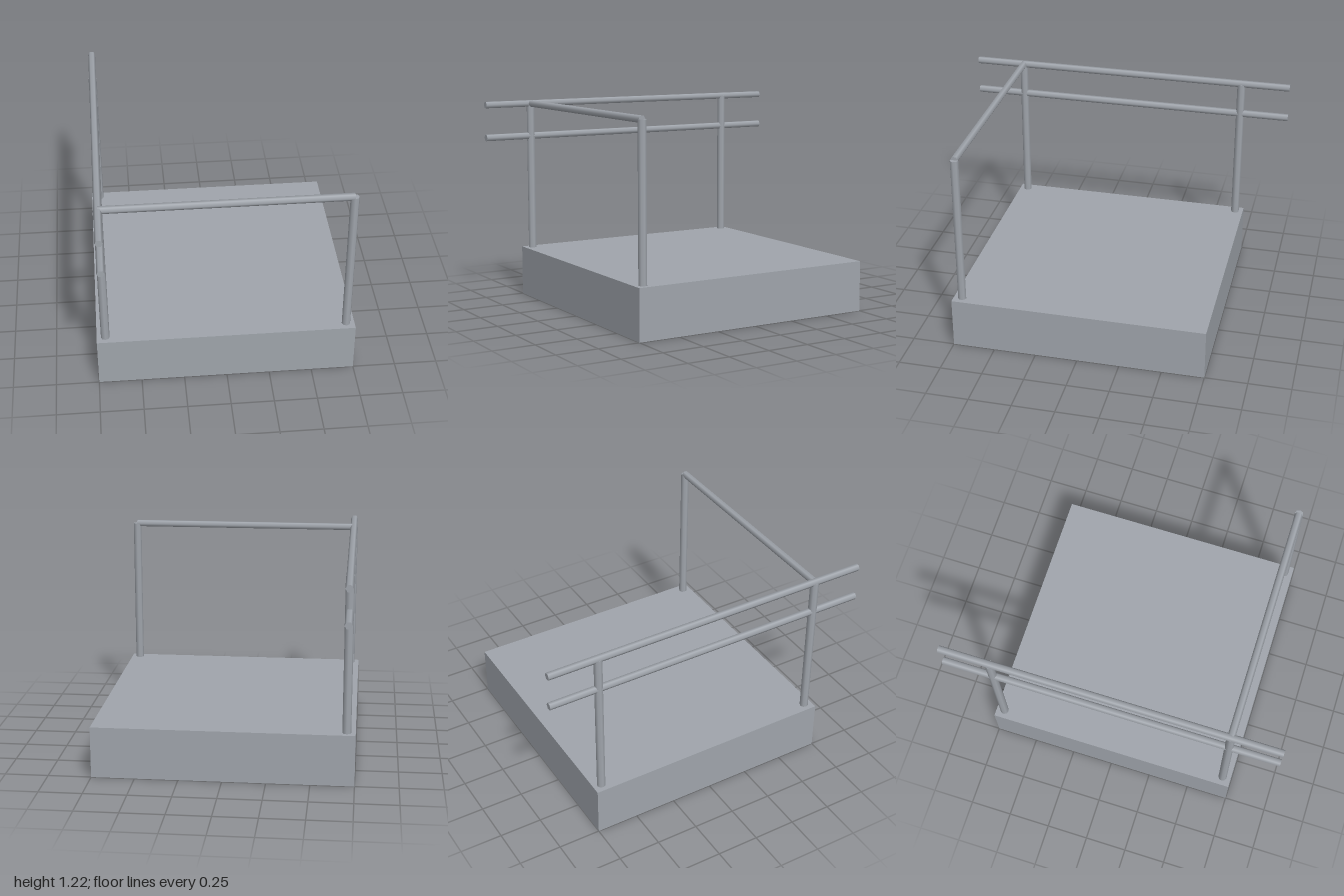
import * as THREE from 'three';

export function createModel() {
  const group = new THREE.Group();
  const steel = new THREE.MeshStandardMaterial({ color: 0xa0a5ac });
  steel.name = 'greySteel';

  const add = (name, geometry, x, y, z) => {
    const mesh = new THREE.Mesh(geometry, steel);
    mesh.name = name;
    mesh.position.set(x, y, z);
    group.add(mesh);
  };

  // Square platform
  add('platform', new THREE.BoxGeometry(1.5, 0.3, 1.5), 0, 0.15, 0);

  // Upright posts on three corners
  const posts = [['frontRightPost', -0.7, 0.7], ['frontLeftPost', 0.7, 0.7], ['backRightPost', -0.7, -0.7]];
  for (const [name, x, z] of posts) {
    add(name, new THREE.CylinderGeometry(0.025, 0.025, 0.9, 8), x, 0.75, z);
  }

  // Two long hexagonal side rails overhanging front and back
  for (const [name, y] of [['upperSideRail', 1.2], ['lowerSideRail', 1.0]]) {
    const rail = new THREE.CylinderGeometry(0.022, 0.022, 2, 6).rotateY(Math.PI / 6).rotateX(Math.PI / 2);
    add(name, rail, -0.7, y, 0);
  }

  // Hexagonal rail across the front
  add('frontRail', new THREE.CylinderGeometry(0.022, 0.022, 1.4, 6).rotateZ(Math.PI / 2), 0, 1.2, 0.7);

  return group;
}
